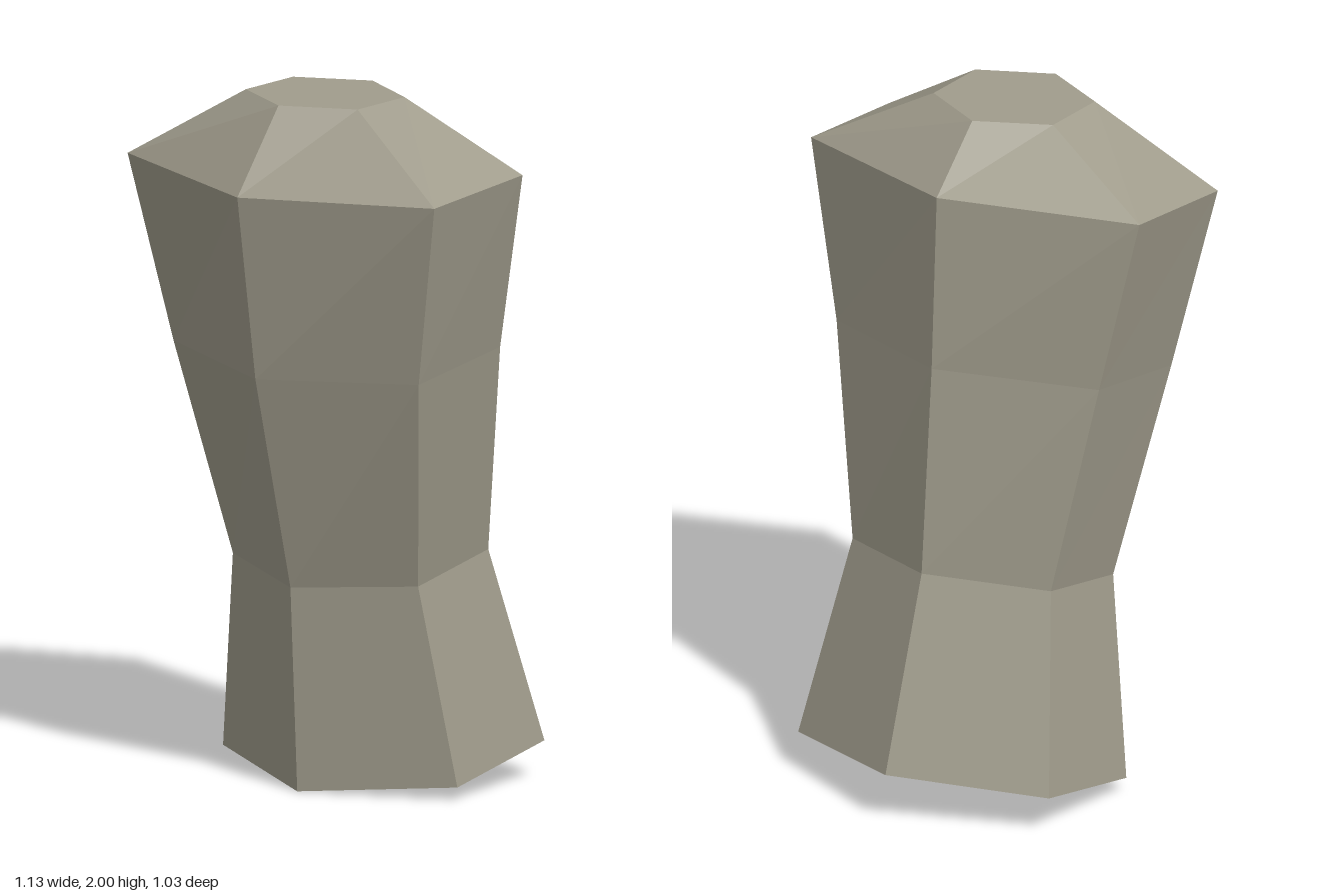
import * as THREE from 'three';

// Each ring: front [y, z], front side [x, y, z], back side [x, y, z], back [y, z]
const RINGS = [
  [[0, 0.25], [0.43, 0.04, 0.06], [0.43, 0.11, -0.325], [0.145, -0.515]],
  [[0.595, 0.28], [0.34, 0.62, 0.125], [0.34, 0.675, -0.185], [0.7, -0.335]],
  [[1.225, 0.435], [0.45, 1.242, 0.255], [0.45, 1.29, -0.105], [1.31, -0.285]],
  [[1.765, 0.515], [0.563, 1.78, 0.322], [0.563, 1.81, -0.068], [1.825, -0.26]],
  [[2, 0.333], [0.205, 2, 0.23], [0.205, 2, 0.022], [2, -0.083]],
];

// Mirror the half outline into a six-sided ring, counterclockwise from above
function hexRing([front, fs, bs, back]) {
  const mirror = ([x, y, z]) => [-x, y, z];
  return [[0, ...front], fs, bs, [0, ...back], mirror(bs), mirror(fs)];
}

// Skin the rings and close both ends
function loft(rings) {
  const positions = [];
  const tri = (...corners) => corners.forEach((p) => positions.push(...p));
  for (let r = 0; r < rings.length - 1; r++) {
    const a = rings[r], b = rings[r + 1];
    for (let i = 0; i < 6; i++) {
      const j = (i + 1) % 6;
      tri(a[i], a[j], b[j]);
      tri(a[i], b[j], b[i]);
    }
  }
  const bottom = rings[0], top = rings[rings.length - 1];
  for (let i = 1; i < 5; i++) {
    tri(bottom[0], bottom[i + 1], bottom[i]);
    tri(top[0], top[i], top[i + 1]);
  }
  const geometry = new THREE.BufferGeometry();
  geometry.setAttribute('position', new THREE.Float32BufferAttribute(positions, 3));
  geometry.computeVertexNormals(); // unshared corners give flat facets
  return geometry;
}

export function createModel() {
  const stone = new THREE.MeshStandardMaterial({ color: 0xa09c8c });
  stone.name = 'stone';

  // Leaning, waisted pillar with a bevelled crown
  const pillar = new THREE.Mesh(loft(RINGS.map(hexRing)), stone);
  pillar.name = 'stonePillar';

  const model = new THREE.Group();
  model.name = 'leaningStone';
  model.add(pillar);
  return model;
}
